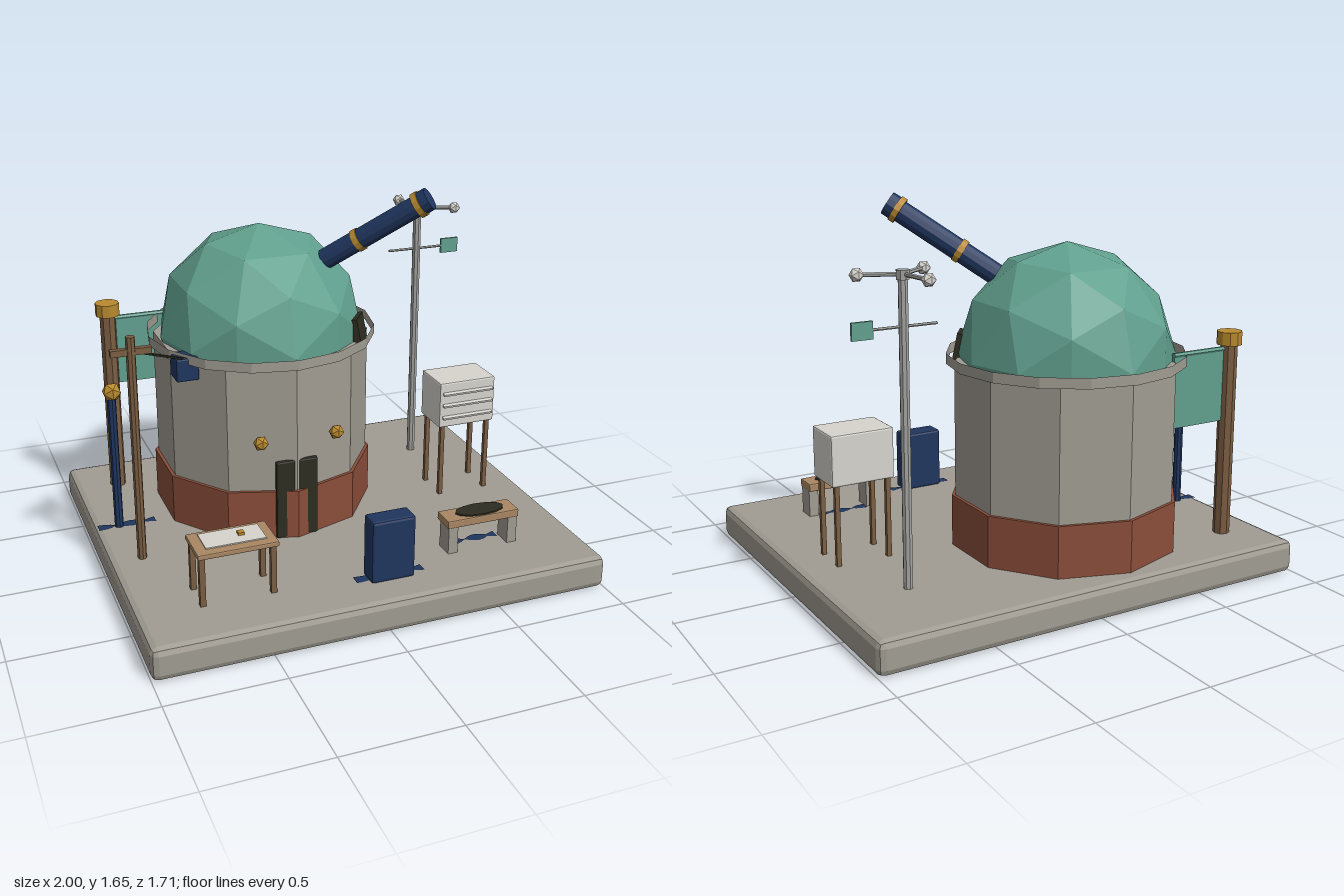
import * as THREE from 'three';
import { RoundedBoxGeometry } from 'three/addons/geometries/RoundedBoxGeometry.js';

const mat = (name, color, extra = {}) => {
  const m = new THREE.MeshStandardMaterial({ color, flatShading: true, ...extra });
  m.name = name;
  return m;
};

export function createModel() {
  const stone = mat('stone', 0xa09c92, { side: THREE.DoubleSide });
  const brick = mat('brick', 0x8a4d3a);
  const copper = mat('copper green', 0x61a08e);
  const navy = mat('navy', 0x20365f, { side: THREE.DoubleSide });
  const gold = mat('gold', 0xb8892f);
  const wood = mat('dark wood', 0x7a5d42);
  const tan = mat('light wood', 0xa98763);
  const white = mat('white', 0xd6d4cd);
  const dark = mat('dark olive', 0x2d2c21);
  const steel = mat('steel', 0xa3a3a1);

  const root = new THREE.Group();
  root.name = 'observatory';
  const G = 0.145; // ground level on top of the slab

  const group = (name) => {
    const g = new THREE.Group();
    g.name = name;
    root.add(g);
    return g;
  };
  const add = (parent, name, geometry, material, x, y, z) => {
    const m = new THREE.Mesh(geometry, material);
    m.name = name;
    m.position.set(x, y, z);
    parent.add(m);
    return m;
  };
  // box given by its limits on each axis
  const box = (parent, name, material, x0, x1, y0, y1, z0, z1, bevel = 0) => {
    const size = [x1 - x0, y1 - y0, z1 - z0];
    const geo = bevel ? new RoundedBoxGeometry(...size, 1, bevel) : new THREE.BoxGeometry(...size);
    return add(parent, name, geo, material, (x0 + x1) / 2, (y0 + y1) / 2, (z0 + z1) / 2);
  };
  // upright cylinder from y0 to y1
  const post = (parent, name, material, x, z, y0, y1, r, sides = 8) =>
    add(parent, name, new THREE.CylinderGeometry(r, r, y1 - y0, sides), material, x, (y0 + y1) / 2, z);
  // cylinder between two points
  const rod = (parent, name, material, a, b, r, sides = 8) => {
    const dir = b.clone().sub(a);
    const mid = a.clone().add(b).multiplyScalar(0.5);
    const m = add(parent, name, new THREE.CylinderGeometry(r, r, dir.length(), sides), material, mid.x, mid.y, mid.z);
    m.quaternion.setFromUnitVectors(new THREE.Vector3(0, 1, 0), dir.normalize());
    return m;
  };
  const ball = (parent, name, material, x, y, z, r) =>
    add(parent, name, new THREE.IcosahedronGeometry(r, 0), material, x, y, z);
  const v = (x, y, z) => new THREE.Vector3(x, y, z);

  // Ground slab
  box(root, 'groundSlab', stone, -1, 1, 0, G, -0.855, 0.855, 0.03);

  // Ten-sided tower with faceted dome
  const tower = group('tower');
  const cx = -0.17, cz = -0.287;
  post(tower, 'brickPlinth', brick, cx, cz, G, 0.37, 0.5, 10);
  post(tower, 'wall', stone, cx, cz, 0.37, 0.955, 0.485, 10);
  add(tower, 'domeRing', new THREE.CylinderGeometry(0.515, 0.515, 0.045, 16, 1, true),
    stone, cx, 0.963, cz);
  add(tower, 'dome', new THREE.IcosahedronGeometry(0.475, 1), copper, cx, 0.975, cz).scale.set(0.975, 1, 1.01);
  const slit = box(tower, 'domeSlit', dark, 0.13, 0.25, 0.94, 1.055, -0.06, 0, 0);
  slit.rotation.set(-0.2, 0.96, 0, 'YXZ');

  // Entrance doors and lamps
  for (const s of [-1, 1]) {
    box(tower, 'door', dark, cx + s * 0.052 - 0.044, cx + s * 0.052 + 0.044, G, 0.515, 0.175, 0.197, 0.008);
    ball(tower, 'doorLamp', gold, cx + s * 0.172, 0.63, 0.22, 0.034);
  }
  box(tower, 'wallCabinet', navy, -0.64, -0.54, 0.865, 0.97, -0.11, 0, 0.008);

  // Telescope
  const scope = group('telescope');
  const a = v(0.075, 1.305, -0.115), b = v(0.445, 1.6, 0.145);
  const along = (t) => a.clone().lerp(b, t);
  rod(scope, 'telescopeTube', navy, a, b, 0.047, 12);
  rod(scope, 'middleBand', gold, along(0.31), along(0.36), 0.052, 12);
  rod(scope, 'frontBand', gold, along(0.89), along(0.94), 0.058, 12);
  rod(scope, 'lensCap', navy, along(0.94), along(1.01), 0.052, 12);

  // Hanging banner on a capped post
  const banner = group('banner');
  post(banner, 'bannerPost', wood, -0.8, -0.605, G, 1.0, 0.037);
  post(banner, 'bannerPostCap', gold, -0.8, -0.605, 1.0, 1.058, 0.055, 10);
  rod(banner, 'bannerRod', copper, v(-0.8, 0.982, -0.605), v(-0.5, 0.982, -0.605), 0.012, 6);
  box(banner, 'bannerCloth', copper, -0.765, -0.5, 0.665, 0.975, -0.612, -0.597);

  // Utility pole with cable to the cabinet
  const pole = group('utilityPole');
  post(pole, 'pole', wood, -0.86, 0.14, G, 1.15, 0.02);
  box(pole, 'crossArm', wood, -0.945, -0.775, 1.072, 1.1, 0.125, 0.152);
  rod(pole, 'cable', dark, v(-0.84, 1.08, 0.135), v(-0.59, 0.96, -0.02), 0.006, 5);

  // Flat bow-shaped ground markings
  const bow = (x, z) => {
    const s = new THREE.Shape();
    s.moveTo(-0.13, -0.025);
    s.bezierCurveTo(-0.06, -0.025, -0.07, -0.005, -0.045, 0);
    s.bezierCurveTo(0, -0.035, 0.04, -0.035, 0.08, -0.008);
    s.lineTo(0.13, -0.025);
    s.lineTo(0.13, 0.025);
    s.lineTo(0.08, 0.008);
    s.bezierCurveTo(0.04, 0.035, 0, 0.035, -0.045, 0.004);
    s.bezierCurveTo(-0.07, 0.005, -0.06, 0.025, -0.13, 0.025);
    const m = add(root, 'groundMarking', new THREE.ShapeGeometry(s, 4), navy, x, G + 0.004, z);
    m.rotation.x = -Math.PI / 2;
    return m;
  };
  bow(-0.855, -0.175);
  bow(0.07, 0.65).scale.x = 1.18;
  bow(0.54, 0.5).scale.x = 0.85;

  // Lamp post
  const lamp = group('lampPost');
  post(lamp, 'lampStem', navy, -0.89, -0.175, G, 0.77, 0.02);
  ball(lamp, 'lampGlobe', gold, -0.887, 0.795, -0.175, 0.044);

  // Map table
  const table = group('mapTable');
  box(table, 'tableTop', tan, -0.745, -0.405, 0.363, 0.386, 0.44, 0.632, 0.005);
  box(table, 'paper', white, -0.7, -0.445, 0.386, 0.391, 0.465, 0.59);
  box(table, 'paperweight', gold, -0.548, -0.522, 0.39, 0.403, 0.512, 0.538);
  for (const x of [-0.725, -0.425])
    for (const z of [0.465, 0.605]) box(table, 'tableLeg', wood, x - 0.012, x + 0.012, G, 0.365, z - 0.012, z + 0.012);

  // Navy sign board
  box(root, 'signBoard', navy, -0.03, 0.165, G, 0.428, 0.607, 0.703, 0.012);

  // Stone-legged bench with cushion
  const bench = group('bench');
  box(bench, 'benchSeat', tan, 0.37, 0.71, 0.268, 0.305, 0.485, 0.592, 0.005);
  for (const x of [0.4, 0.685]) box(bench, 'benchLeg', stone, x - 0.022, x + 0.022, G, 0.27, 0.5, 0.585);
  const cushion = post(bench, 'cushion', dark, 0.545, 0.538, 0.305, 0.312, 0.05, 12);
  cushion.scale.x = 2.3;

  // Louvred weather box on legs
  const screen = group('weatherBox');
  box(screen, 'boxBody', white, 0.575, 0.855, 0.492, 0.712, -0.13, 0.066, 0.008);
  for (const y of [0.543, 0.603, 0.66]) {
    const slat = box(screen, 'louvre', white, 0.59, 0.84, y - 0.005, y + 0.005, 0.055, 0.082);
    slat.rotation.x = 0.3;
  }
  for (const x of [0.6, 0.83])
    for (const z of [-0.11, 0.045]) box(screen, 'boxLeg', wood, x - 0.01, x + 0.01, G, 0.5, z - 0.01, z + 0.01);

  // Weather mast with spinning cups and wind vane
  const mast = group('weatherMast');
  const mx = 0.683, mz = -0.46;
  post(mast, 'mastPole', steel, mx, mz, G, 1.4, 0.02);
  post(mast, 'mastHub', steel, mx, mz, 1.385, 1.422, 0.027);
  for (const [x, z] of [[0.663, -0.632], [0.545, -0.36], [0.843, -0.395]]) {
    rod(mast, 'cupArm', steel, v(mx, 1.405, mz), v(x, 1.405, z), 0.009, 6);
    ball(mast, 'cup', white, x, 1.405, z, 0.029);
  }
  rod(mast, 'vaneRod', steel, v(0.54, 1.205, mz), v(0.83, 1.205, mz), 0.006, 6);
  box(mast, 'vaneTail', copper, 0.812, 0.9, 1.17, 1.24, mz - 0.006, mz + 0.006);

  return root;
}
